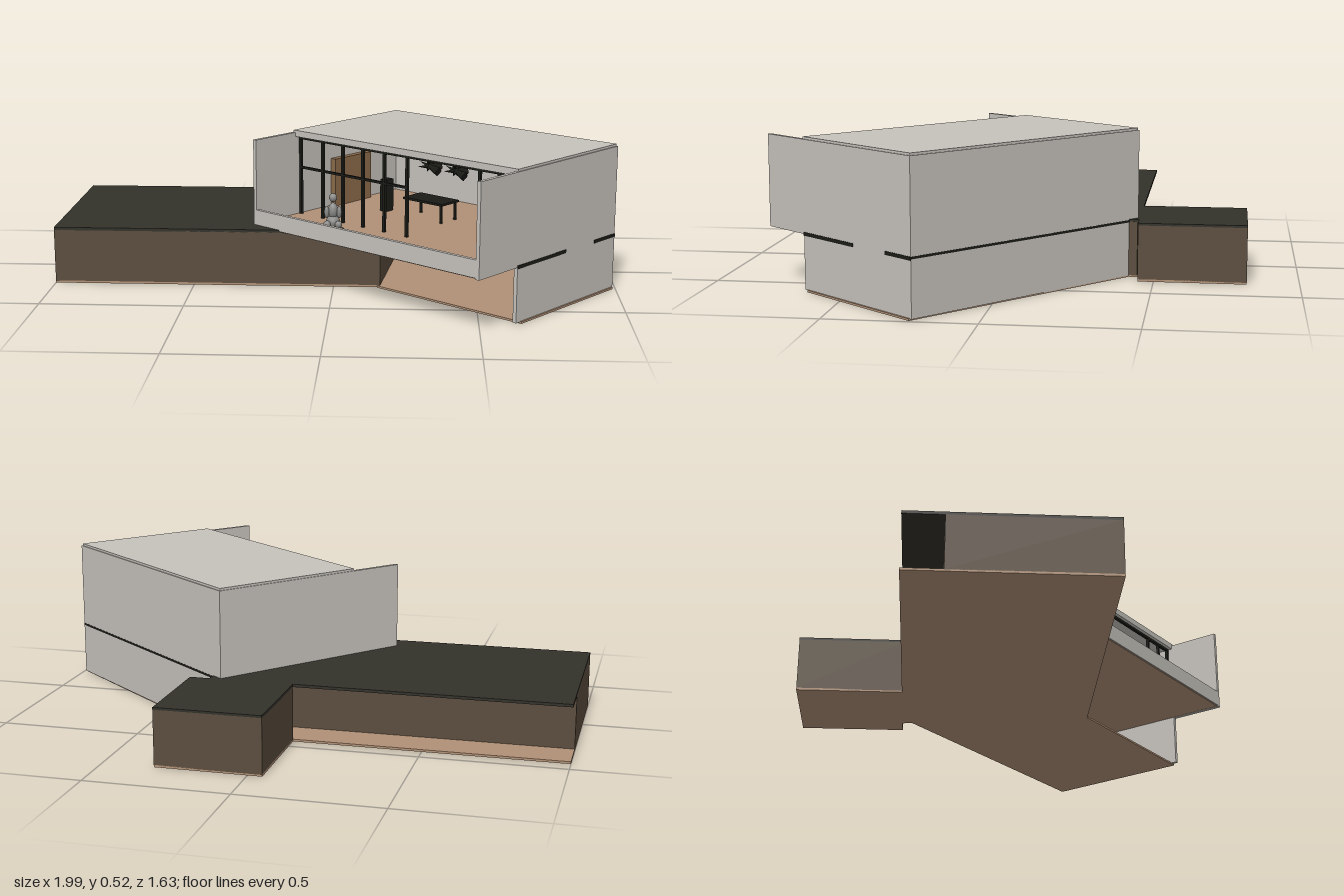
import * as THREE from 'three';

const mat = (name, color) => {
  const m = new THREE.MeshStandardMaterial({ color });
  m.name = name;
  return m;
};

export function createModel() {
  const concrete = mat('concrete', 0xc6c2bc);
  const timber = mat('dark timber cladding', 0x5a4d3d);
  const roofing = mat('dark roofing', 0x32312a);
  const flooring = mat('wood flooring', 0xb09076);
  const black = mat('black metal', 0x1b1b17);
  const cabinetWood = mat('cabinet wood', 0x8a6a4a);
  const stone = mat('statue grey', 0x8a8a88);

  const model = new THREE.Group();
  model.name = 'house';
  const group = (name, parent = model) => {
    const g = new THREE.Group();
    g.name = name;
    parent.add(g);
    return g;
  };
  const add = (parent, name, geometry, material) => {
    const mesh = new THREE.Mesh(geometry, material);
    mesh.name = name;
    parent.add(mesh);
    return mesh;
  };
  // Box given by its extents on each axis
  const box = (parent, name, material, [x0, x1], [y0, y1], [z0, z1]) => {
    const mesh = add(parent, name, new THREE.BoxGeometry(x1 - x0, y1 - y0, z1 - z0), material);
    mesh.position.set((x0 + x1) / 2, (y0 + y1) / 2, (z0 + z1) / 2);
    return mesh;
  };
  // Flat slab over an [x, z] outline
  const slab = (parent, name, material, points, y0, y1) => {
    const shape = new THREE.Shape(points.map(([x, z]) => new THREE.Vector2(x, -z)));
    const g = new THREE.ExtrudeGeometry(shape, { depth: y1 - y0, bevelEnabled: false });
    g.rotateX(-Math.PI / 2);
    g.translate(0, y0, 0);
    return add(parent, name, g, material);
  };
  // Upright wall between two [x, z] points
  const wall = (parent, name, material, [ax, az], [bx, bz], y0, y1, t = 0.012) => {
    const len = Math.hypot(bx - ax, bz - az);
    const mesh = add(parent, name, new THREE.BoxGeometry(len, y1 - y0, t), material);
    mesh.position.set((ax + bx) / 2, (y0 + y1) / 2, (az + bz) / 2);
    mesh.rotation.y = -Math.atan2(bz - az, bx - ax);
    return mesh;
  };

  // Low timber wing with a recessed back wall under the overhanging roof
  const wing = group('timberWing');
  const outline = [[-1, 0.24], [0.165, 0.24], [0.25, -0.445], [0.32, -0.445],
    [0.32, -0.82], [-0.05, -0.82], [-0.05, -0.445], [-1, -0.445]];
  slab(wing, 'wingFloor', flooring, outline, 0, 0.008);
  slab(wing, 'wingRoof', roofing, outline, 0.195, 0.205);
  const W = [0.006, 0.197];
  wall(wing, 'wingFrontWall', timber, [-1, 0.234], [0.165, 0.234], ...W);
  wall(wing, 'wingLeftEndWall', timber, [-0.994, 0.24], [-0.994, -0.31], ...W);
  wall(wing, 'wingBackWall', timber, [-1, -0.304], [0.23, -0.304], ...W);
  wall(wing, 'wingPartition', timber, [0.16, 0.24], [0.244, -0.44], ...W);
  box(wing, 'annexWalls', timber, [-0.05, 0.32], W, [-0.82, -0.445]);

  // Rotated two-storey block; local z is its glazed front
  const block = group('concreteBlock');
  block.position.set(0.35, 0, 0.185);
  block.rotation.y = -0.695;
  const HX = 0.508, HZ = 0.39, FZ = 0.185, T = 0.014;

  // Open lower storey
  slab(model, 'lowerFloor', flooring,
    [[0.155, 0.245], [0.64, 0.64], [0.99, 0.22], [0.215, -0.435]], 0, 0.007);
  box(block, 'lowerBackWall', concrete, [-HX, HX], [0.005, 0.195], [-HZ, -HZ + T]);
  box(block, 'lowerEndWall', concrete, [HX - T, HX], [0.005, 0.195], [-HZ, FZ]);

  // Shadow gaps between the storeys
  box(block, 'backGap', black, [-HX, HX], [0.194, 0.202], [-HZ - 0.001, -HZ + 0.004]);
  for (const [a, b] of [[-HZ, -0.26], [-0.09, FZ]])
    box(block, 'endGap', black, [HX - 0.004, HX + 0.002], [0.19, 0.202], [a, b]);

  // Upper storey shell
  box(block, 'upperFloor', flooring, [-HX + 0.005, HX - 0.005], [0.197, 0.21], [-HZ + 0.005, HZ - 0.005]);
  for (const s of [-1, 1])
    box(block, 'upperEndWall', concrete, [s * (HX - T / 2) - T / 2, s * (HX - T / 2) + T / 2],
      [0.195, 0.515], [-HZ, HZ]);
  box(block, 'upperBackWall', concrete, [-HX, HX], [0.2, 0.515], [-HZ, -HZ + T]);
  box(block, 'balconyParapet', concrete, [-HX, HX], [0.2, 0.26], [HZ - T, HZ]);
  box(block, 'upperRoof', concrete, [-HX + 0.004, HX - 0.004], [0.5, 0.523], [-HZ + 0.004, FZ + 0.004]);

  // Glazing frame with a wide open bay
  const frame = group('windowFrame', block);
  const upright = [-0.484, -0.375, -0.276, -0.18, -0.08, 0.023, 0.336, 0.415, 0.484];
  for (const x of upright)
    box(frame, 'mullion', black, [x - 0.005, x + 0.005], [0.21, 0.5], [FZ - 0.02, FZ - 0.01]);
  for (const [a, b] of [[-0.484, 0.023], [0.336, 0.484]])
    box(frame, 'transom', black, [a, b], [0.381, 0.389], [FZ - 0.02, FZ - 0.01]);
  box(frame, 'headRail', black, [-0.49, 0.49], [0.49, 0.5], [FZ - 0.02, FZ - 0.01]);

  // Interior furniture
  const room = group('interior', block);
  box(room, 'cabinet', cabinetWood, [-0.494, -0.47], [0.21, 0.39], [-0.2, 0]);
  box(room, 'speaker', black, [-0.3, -0.27], [0.21, 0.33], [-0.1, -0.06]);
  box(room, 'tableTop', black, [-0.18, 0], [0.275, 0.283], [-0.15, -0.05]);
  for (const x of [-0.17, -0.01])
    for (const z of [-0.14, -0.06])
      box(room, 'tableLeg', black, [x - 0.004, x + 0.004], [0.21, 0.277], [z - 0.004, z + 0.004]);

  // Hanging lamps made of slanted blades
  for (const x of [-0.1, 0.02]) {
    const lamp = group('hangingLamp', room);
    lamp.position.set(x, 0.4, -0.1);
    box(lamp, 'lampRod', black, [-0.002, 0.002], [0, 0.1], [-0.002, 0.002]);
    for (let i = 0; i < 3; i++) {
      const blade = add(lamp, 'lampBlade', new THREE.ConeGeometry(0.018, 0.09, 4), black);
      blade.rotation.set(0.3 * i, i * 1.05, 1.25);
    }
  }

  // Balcony statue on a dark base
  const statue = group('statue');
  statue.position.set(0, 0.21, 0.265);
  const ball = (name, r, x, y, z, sy = 1) => {
    const m = add(statue, name, new THREE.SphereGeometry(r, 12, 8), stone);
    m.position.set(x, y, z);
    m.scale.y = sy;
  };
  const base = add(statue, 'statueBase', new THREE.BoxGeometry(0.055, 0.012, 0.055), black);
  base.position.y = 0.006;
  base.rotation.y = -0.695;
  ball('statueHips', 0.025, 0, 0.035, 0);
  ball('statueTorso', 0.018, 0, 0.075, 0, 1.6);
  ball('statueHead', 0.014, 0, 0.122, 0, 1.1);
  for (const s of [-1, 1]) {
    ball('statueArm', 0.009, s * 0.022, 0.072, 0.008, 2.4);
    ball('statueKnee', 0.013, s * 0.02, 0.03, 0.02);
  }
  return model;
}
